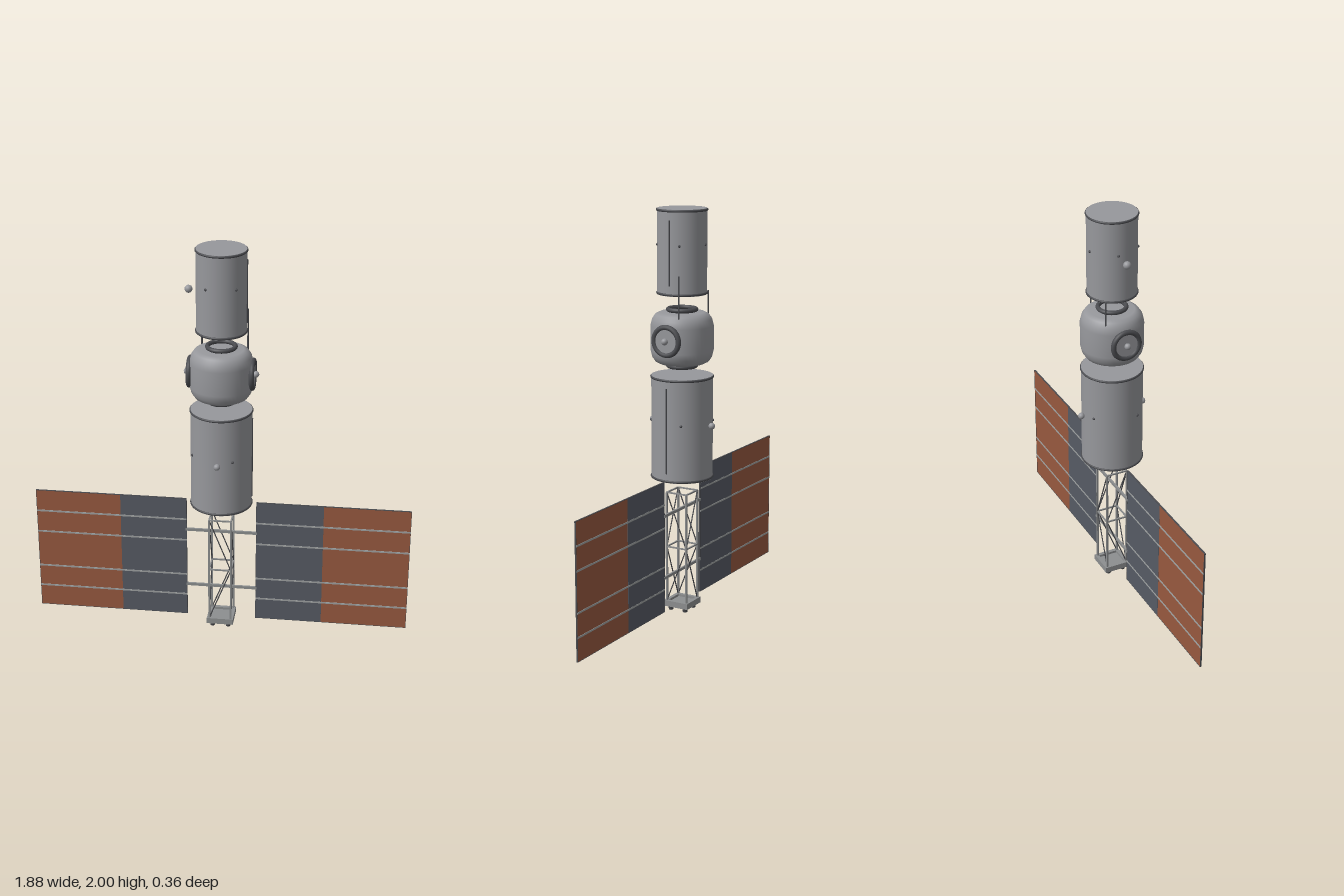
import * as THREE from 'three';

const paint = (name, color) => {
  const m = new THREE.MeshStandardMaterial({ color });
  m.name = name;
  return m;
};

export function createModel() {
  const root = new THREE.Group();
  root.name = 'spaceStation';
  const hull = paint('hullGrey', 0x97989c);
  const dark = paint('darkTrim', 0x4b4c50);
  const metal = paint('trussGrey', 0x8d8f90);
  const slate = paint('slatePanel', 0x565b64);
  const rust = paint('rustPanel', 0x97593f);
  const strip = paint('panelStrip', 0xa0a3a3);

  const add = (parent, name, geo, mat, x = 0, y = 0, z = 0) => {
    const m = new THREE.Mesh(geo, mat);
    m.name = name;
    m.position.set(x, y, z);
    parent.add(m);
    return m;
  };
  const group = (name) => {
    const g = new THREE.Group();
    g.name = name;
    root.add(g);
    return g;
  };
  const box = (p, name, mat, w, h, d, x, y, z) =>
    add(p, name, new THREE.BoxGeometry(w, h, d), mat, x, y, z);
  const ball = (p, name, r, x, y, z) =>
    add(p, name, new THREE.SphereGeometry(r, 16, 12), hull, x, y, z);
  // round bar between two points
  const bar = (p, name, mat, a, b, r) => {
    const s = new THREE.Vector3(...a), e = new THREE.Vector3(...b);
    const dir = e.clone().sub(s);
    const m = add(p, name, new THREE.CylinderGeometry(r, r, dir.length(), 8), mat);
    m.position.copy(s).add(e).multiplyScalar(0.5);
    m.quaternion.setFromUnitVectors(new THREE.Vector3(0, 1, 0), dir.normalize());
    return m;
  };
  const ring = (p, name, R, r, y, mat = dark) => {
    const m = add(p, name, new THREE.TorusGeometry(R, r, 10, 48), mat, 0, y, 0);
    m.rotation.x = Math.PI / 2;
    return m;
  };

  // cylindrical modules with end rims, a side rail and small studs
  const module = (name, r, y0, y1, rail, studs, count, start) => {
    const g = group(name);
    add(g, 'hull', new THREE.CylinderGeometry(r, r, y1 - y0, 48), hull, 0, (y0 + y1) / 2, 0);
    for (const y of [y0 + 0.007, y1 - 0.007]) ring(g, 'endRim', r - 0.001, 0.006, y);
    bar(g, 'sideRail', dark, [r + 0.001, rail[0], 0], [r + 0.001, rail[1], 0], 0.004);
    for (let i = 0; i < count; i++) {
      const a = THREE.MathUtils.degToRad(start - (i * 360) / count);
      add(g, 'stud', new THREE.SphereGeometry(0.007, 8, 6), dark,
        r * Math.cos(a), studs, r * Math.sin(a));
    }
    return g;
  };
  const upper = module('upperModule', 0.12, 1.59, 2, [1.64, 1.95], 1.83, 5, 120);
  ball(upper, 'sideSphere', 0.019, -0.155, 1.795, 0);
  const lower = module('lowerModule', 0.15, 0.685, 1.195, [0.73, 1.15], 0.97, 4, 62);
  for (const s of [1, -1]) ball(lower, 'sensorSphere', 0.016, 0, 0.957, s * 0.166);

  // rounded docking node
  const node = group('dockingNode');
  const half = [[0.108, 0.125], [0.13, 0.114], [0.145, 0.092], [0.153, 0.06]];
  const profile = [
    [0, -0.125],
    ...half.map(([r, y]) => [r, -y]),
    ...half.slice().reverse(),
    [0, 0.125],
  ].map(([r, y]) => new THREE.Vector2(r, y));
  add(node, 'nodeHull', new THREE.LatheGeometry(profile, 48), hull, 0, 1.378, 0);
  for (const y of [1.515, 1.241]) ring(node, 'collar', 0.067, 0.011, y);

  // side ports
  for (const s of [1, -1]) {
    const port = add(node, 'portRing', new THREE.TorusGeometry(0.067, 0.013, 10, 40), dark, s * 0.151, 1.38, 0);
    port.rotation.y = Math.PI / 2;
    const disc = add(node, 'portDisc', new THREE.CylinderGeometry(0.06, 0.06, 0.04, 32), hull, s * 0.137, 1.38, 0);
    disc.rotation.z = Math.PI / 2;
    ball(node, 'portKnob', 0.016, s * 0.166, 1.38, 0);
  }

  // thin antennas beside the node
  bar(root, 'longAntenna', dark, [0.121, 1.48, -0.052], [0.121, 1.69, -0.052], 0.004);
  bar(root, 'shortAntenna', dark, [-0.105, 1.47, -0.085], [-0.105, 1.6, -0.085], 0.004);

  // square lattice truss
  const truss = group('truss');
  const t = 0.055, top = 0.608, mid = 0.33, low = 0.05;
  for (const a of [-t, t]) {
    for (const b of [-t, t]) box(truss, 'post', metal, 0.009, top - low, 0.009, a, (top + low) / 2, b);
    for (const y of [top, mid]) {
      box(truss, 'crossTie', metal, 2 * t, 0.007, 0.007, 0, y, a);
      box(truss, 'sideTie', metal, 0.007, 0.007, 2 * t, a, y, 0);
    }
    for (const y of [top, low]) {
      bar(truss, 'diagonal', dark, [-t, y, a], [t, mid, a], 0.003);
      bar(truss, 'diagonal', dark, [a, y, t], [a, mid, -t], 0.003);
    }
  }

  // base plate with raised rim and four nozzles
  const base = group('base');
  box(base, 'basePlate', metal, 0.134, 0.018, 0.134, 0, 0.031, 0);
  for (const s of [1, -1]) {
    box(base, 'rim', metal, 0.134, 0.03, 0.018, 0, 0.037, s * 0.058);
    box(base, 'rim', metal, 0.018, 0.03, 0.134, s * 0.058, 0.037, 0);
    for (const u of [1, -1])
      add(base, 'nozzle', new THREE.CylinderGeometry(0.016, 0.011, 0.024, 12), dark, s * 0.04, 0.012, u * 0.04);
  }

  // solar wings and the spars joining them
  const wings = group('solarWings');
  for (const y of [0.523, 0.209]) box(wings, 'spar', metal, 0.36, 0.014, 0.01, 0, y, 0);
  for (const s of [1, -1]) {
    box(wings, 'innerPanel', slate, 0.335, 0.66, 0.007, s * 0.3425, 0.365, 0);
    box(wings, 'outerPanel', rust, 0.43, 0.66, 0.005, s * 0.725, 0.365, 0);
    for (const y of [0.58, 0.463, 0.266, 0.15])
      box(wings, 'panelStrip', strip, 0.765, 0.009, 0.009, s * 0.5575, y, 0);
    // dark edging around the wing
    for (const x of [0.1755, 0.9395]) box(wings, 'sideEdge', dark, 0.002, 0.66, 0.008, s * x, 0.365, 0);
    for (const y of [0.0355, 0.6945]) box(wings, 'longEdge', dark, 0.765, 0.002, 0.008, s * 0.5575, y, 0);
  }
  return root;
}
